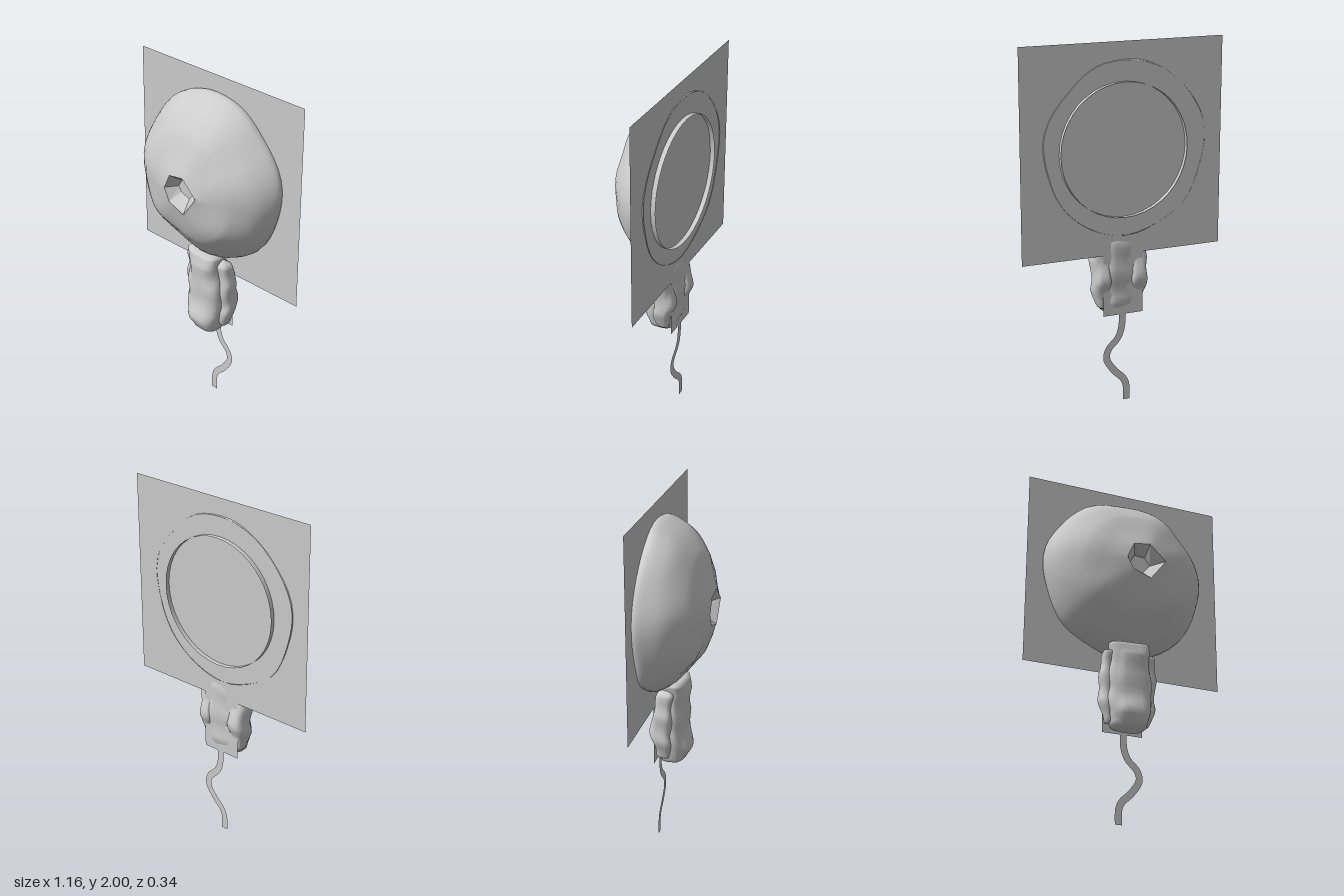
import * as THREE from 'three';

const BACK = -0.142;
const material = new THREE.MeshStandardMaterial({ color: 0xcccccc, side: THREE.DoubleSide });
const flatMaterial = new THREE.MeshStandardMaterial({ color: 0xcccccc, side: THREE.DoubleSide, flatShading: true });

// Smooth repeatable lumps, roughly -1..1
const lump = (x, y, z, f) =>
  (Math.sin(x * f + 1.3 * Math.sin(y * f * 0.7)) + Math.sin(y * f * 1.1 + 2 + z * f) +
    Math.sin(z * f * 1.3 + x * f * 0.6 + 4)) / 3;

// Skin over closed loops of equal point count
function loft(rings) {
  const n = rings[0].length, index = [];
  for (let i = 0; i < rings.length - 1; i++) {
    for (let j = 0; j < n; j++) {
      const k = (j + 1) % n, a = i * n + j, b = a + n, c = (i + 1) * n + k, d = i * n + k;
      index.push(a, b, c, a, c, d);
    }
  }
  const g = new THREE.BufferGeometry();
  g.setAttribute('position', new THREE.Float32BufferAttribute(rings.flat(2), 3));
  g.setIndex(index);
  g.computeVertexNormals();
  return g;
}

// Crater outline, counter-clockwise from its right corner
const craterRim = [[0.13, 1.44], [0.035, 1.53], [-0.06, 1.515], [-0.1, 1.43], [-0.065, 1.36], [0.04, 1.32]];
const craterFloor = [[0.06, 1.43], [0.03, 1.475], [-0.03, 1.48], [-0.06, 1.43], [-0.04, 1.4], [0.02, 1.38]];

// Point at fraction t round a polygon
function around(poly, t) {
  const s = t * poly.length, i = Math.floor(s) % poly.length, f = s - Math.floor(s);
  const p = poly[i], q = poly[(i + 1) % poly.length];
  return [p[0] + (q[0] - p[0]) * f, p[1] + (q[1] - p[1]) * f];
}

// Lumpy dome: crater rim grows into a round, bulging shell
function domeGeometry() {
  const N = 48;
  const profile = new THREE.SplineCurve([
    [0.1, 0.168], [0.17, 0.158], [0.26, 0.12], [0.345, 0.06], [0.41, 0], [0.45, -0.06], [0.475, -0.115], [0.468, -0.147],
  ].map(p => new THREE.Vector2(...p)));
  const rings = [];
  for (let i = 0; i <= 18; i++) {
    const p = profile.getPoint(i / 18), blend = Math.min(1, i / 6), ring = [];
    for (let j = 0; j < N; j++) {
      const a = (j / N) * Math.PI * 2, [hx, hy] = around(craterRim, j / N);
      const swell = blend * lump(Math.cos(a) * p.x, Math.sin(a) * p.x, p.y, 13);
      const r = p.x + 0.014 * swell;
      const cx = -0.014 + r * Math.cos(a), cy = 1.43 + r * Math.sin(a);
      const z = i === 18 ? p.y : p.y + 0.013 * blend * lump(cx, cy, 0.3, 19);
      ring.push([hx + (cx - hx) * blend, hy + (cy - hy) * blend, z]);
    }
    rings.push(ring);
  }
  return loft(rings);
}

// Lumpy upright body from [y, x centre, half width, z centre, half depth] sections
function lumpyColumn(sections, rough) {
  const N = 32, M = 24, rings = [];
  for (let i = 0; i <= M; i++) {
    const s = (i / M) * (sections.length - 1), k = Math.min(Math.floor(s), sections.length - 2);
    const [y, cx, w, cz, d] = sections[k].map((v, q) => v + (sections[k + 1][q] - v) * (s - k));
    const ring = [];
    for (let j = 0; j < N; j++) {
      const a = (j / N) * Math.PI * 2, c = Math.cos(a), n = Math.sin(a);
      const box = v => Math.sign(v) * Math.abs(v) ** 0.65;
      const amount = w < 0.01 ? 0 : rough * lump(cx + c * w, y, n * d, 34);
      ring.push([cx + box(c) * (w + amount), y + amount * 0.3, cz + box(n) * (d + amount)]);
    }
    rings.push(ring);
  }
  return loft(rings);
}

// Flat strip following a curve
function ribbonGeometry(points, width, z) {
  const curve = new THREE.SplineCurve(points.map(p => new THREE.Vector2(...p)));
  const left = [], right = [];
  for (let i = 0; i <= 40; i++) {
    const p = curve.getPoint(i / 40), t = curve.getTangent(i / 40);
    const nx = -t.y * width / 2, ny = i % 40 ? t.x * width / 2 : 0;
    left.push(new THREE.Vector2(p.x + nx, p.y + ny));
    right.unshift(new THREE.Vector2(p.x - nx, p.y - ny));
  }
  return new THREE.ShapeGeometry(new THREE.Shape([...left, ...right])).translate(0, 0, z);
}

export function createModel() {
  const model = new THREE.Group();
  const add = (name, geometry, mat = material) => {
    const mesh = new THREE.Mesh(geometry, mat);
    mesh.name = name;
    model.add(mesh);
    return mesh;
  };
  const panel = (name, w, h, x, y, z) => add(name, new THREE.PlaneGeometry(w, h).translate(x, y, z));

  // Flat panels behind the body
  panel('backPanel', 1.16, 1.15, 0, 1.425, BACK);
  panel('innerBackPanel', 0.86, 0.855, 0.005, 1.444, BACK - 0.002);
  panel('handlePanel', 0.235, 0.495, -0.002, 0.7525, BACK);

  // Short open ring on the back
  add('backRing', new THREE.CylinderGeometry(0.365, 0.365, 0.03, 40, 1, true)
    .rotateX(Math.PI / 2).translate(0, 1.425, -0.155));

  // Dome and the faceted crater in its front
  add('dome', domeGeometry());
  const ringAt = (poly, z) => poly.map(([x, y]) => [x, y, z]);
  const centre = craterFloor.map(() => [0, 1.43, 0.1]);
  add('crater', loft([centre, ringAt(craterFloor, 0.1), ringAt(craterRim, 0.168)]).toNonIndexed(), flatMaterial);

  // Handle: front column with a wider lump on each side
  add('handle', lumpyColumn([
    [0.5, 0, 0.001, -0.055, 0.001], [0.505, 0, 0.085, -0.055, 0.065], [0.57, 0, 0.11, -0.055, 0.088],
    [0.63, 0, 0.115, -0.06, 0.085], [0.72, 0.005, 0.118, -0.07, 0.082], [0.82, 0, 0.115, -0.065, 0.08],
    [0.91, 0, 0.11, -0.06, 0.078], [0.95, 0, 0.1, -0.055, 0.07], [0.995, -0.005, 0.1, -0.055, 0.07],
    [1.0, -0.005, 0.001, -0.055, 0.001],
  ], 0.013));
  for (const side of [-1, 1]) {
    const x = side > 0 ? 0.115 : -0.1;
    add(side > 0 ? 'leftHandleLump' : 'rightHandleLump', lumpyColumn([
      [0.53, x * 0.9, 0.001, -0.09, 0.001], [0.55, x * 0.9, 0.03, -0.09, 0.04], [0.64, x, 0.042, -0.095, 0.055],
      [0.7, x, 0.046, -0.105, 0.06], [0.8, x, 0.05, -0.095, 0.058], [0.86, x, 0.04, -0.085, 0.05],
      [0.94, x, 0.044, -0.08, 0.05], [0.965, x * 0.9, 0.001, -0.08, 0.001],
    ], 0.012));
  }

  // Wavy flat cord hanging from the handle
  add('cord', ribbonGeometry([
    [0.005, 0.54], [0.006, 0.44], [0.03, 0.37], [0.085, 0.31], [0.095, 0.25], [0.05, 0.18],
    [0, 0.13], [-0.021, 0.08], [-0.022, 0],
  ], 0.04, BACK));

  return model;
}
